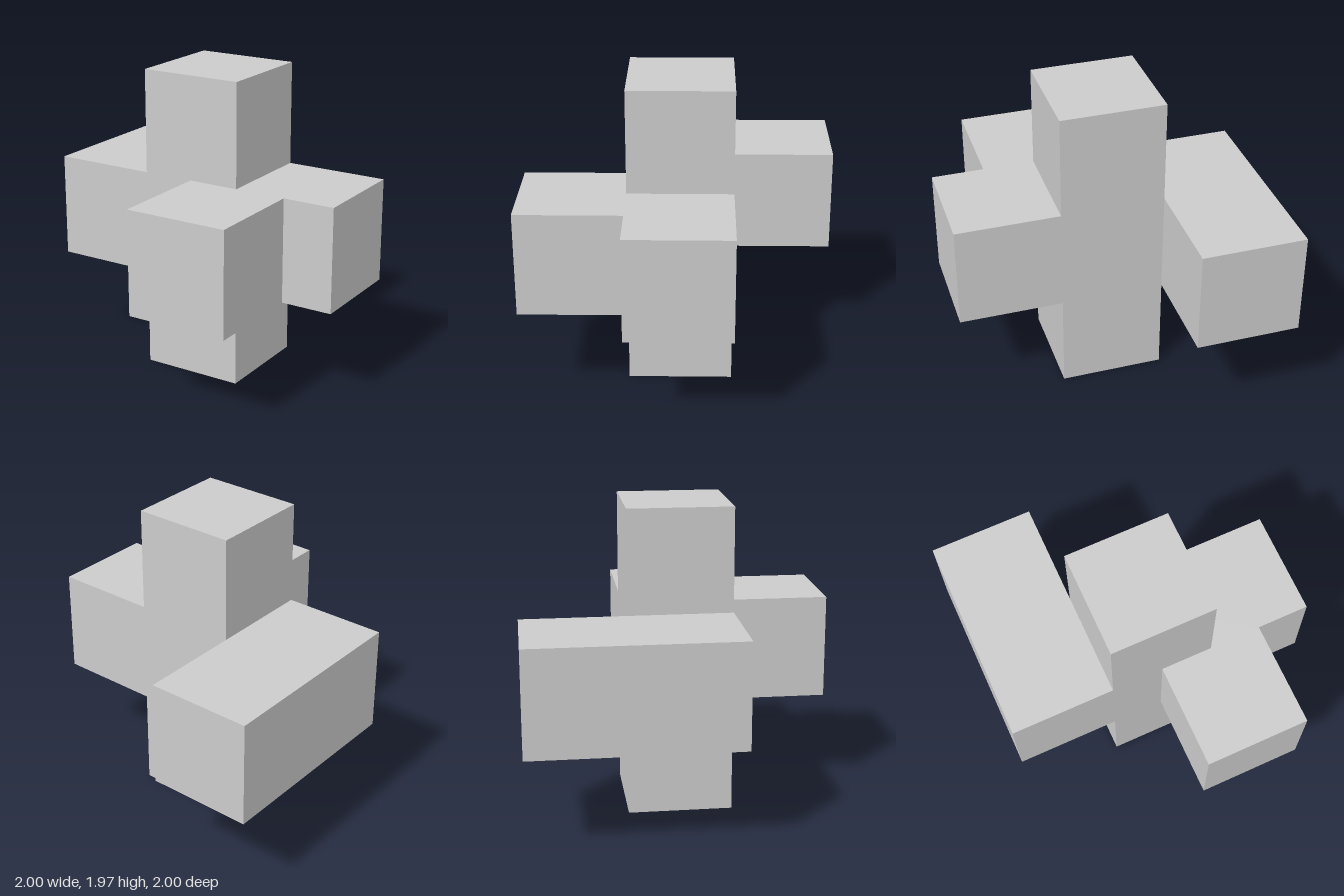
import * as THREE from 'three';

const HALF = 0.333;   // half the width of every square bar
const LOW = 0.635;    // underside of the arms
const HIGH = 1.305;   // top of the arms
const TOP = 1.97;

export function createModel() {
  const model = new THREE.Group();
  model.name = 'crossBlock';
  const material = new THREE.MeshStandardMaterial({ color: 0xcccccc, flatShading: true });

  const add = (name, geometry) => {
    const mesh = new THREE.Mesh(geometry, material);
    mesh.name = name;
    model.add(mesh);
    return mesh;
  };

  // Middle layer: core with side arms, front arm and back arm, as an [x, z] plan
  const plan = [
    [-1, -1], [-HALF, -1], [-HALF, -HALF], [1, -HALF], [1, HALF],
    [0.665, HALF], [0.665, 1], [0, 1], [0, HALF], [-1, HALF],
  ];
  const shape = new THREE.Shape(plan.map(([x, z]) => new THREE.Vector2(x, -z)));
  const arms = add('arms', new THREE.ExtrudeGeometry(shape, { depth: HIGH - LOW, bevelEnabled: false }));
  arms.rotation.x = -Math.PI / 2;
  arms.position.y = LOW;

  // Square post below and above the middle layer
  for (const [name, from, to] of [['lowerPost', 0, LOW], ['upperPost', HIGH, TOP]]) {
    const post = add(name, new THREE.BoxGeometry(2 * HALF, to - from, 2 * HALF));
    post.position.y = (from + to) / 2;
  }

  return model;
}
